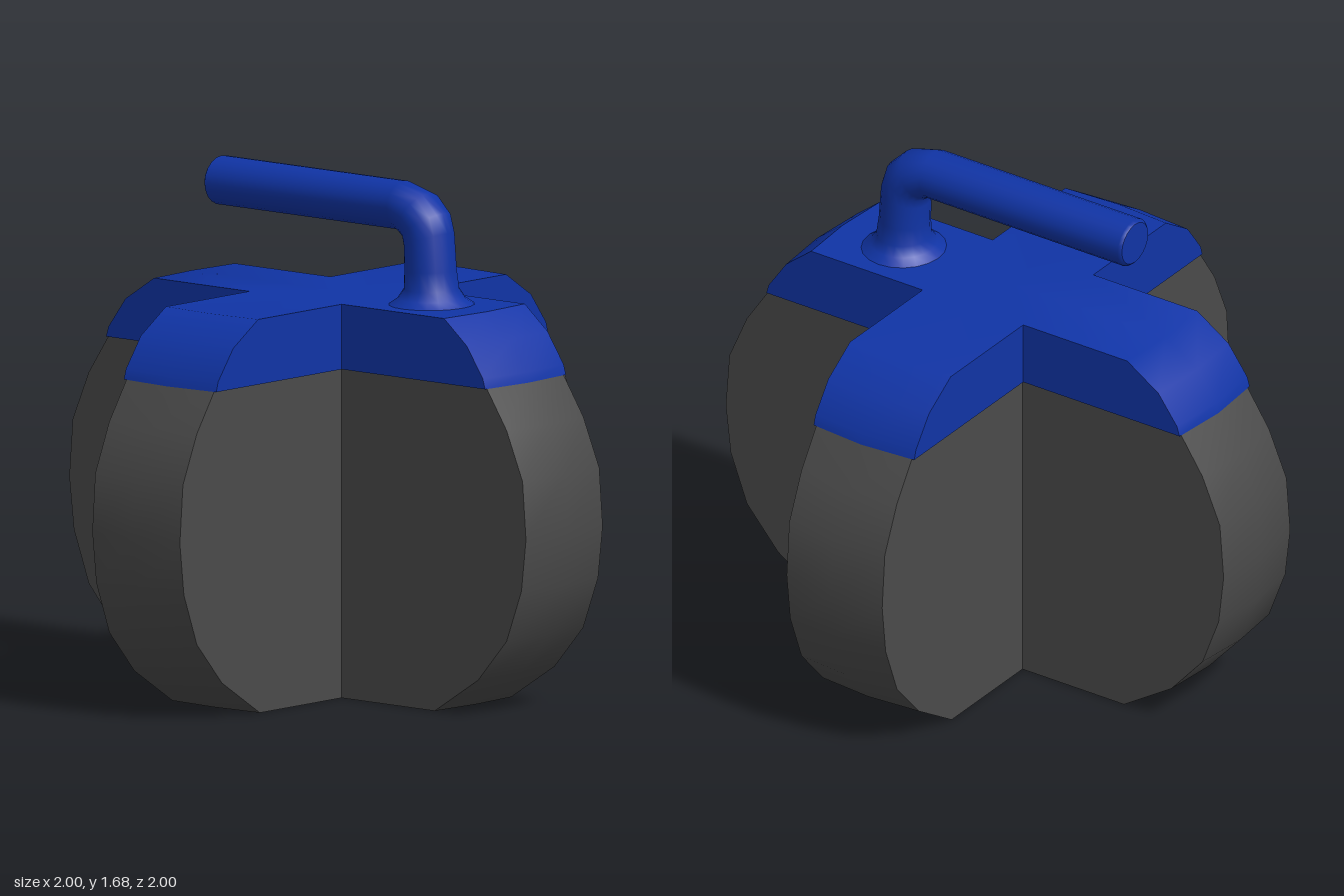
import * as THREE from 'three';
import { toCreasedNormals } from 'three/addons/utils/BufferGeometryUtils.js';

// One arm of a cross, running along +x. The outline goes up the outer end;
// the end bows slightly and the inner end is mitred to meet its neighbours.
function armGeometry(outline, halfWidth) {
  const slices = [-halfWidth, 0, halfWidth].map((z) => {
    const bow = z === 0 ? 1 : 0.98;
    const inner = Math.abs(z);
    const top = outline[outline.length - 1][1];
    return [
      [inner, outline[0][1], z],
      ...outline.map(([x, y]) => [x * bow, y, z]),
      [inner, top, z],
    ];
  });
  const pos = [];
  const tri = (a, b, c) => pos.push(...a, ...b, ...c);
  const n = slices[0].length;
  for (let s = 0; s < 2; s++) {
    const back = slices[s], front = slices[s + 1];
    for (let i = 0; i < n - 1; i++) {
      tri(front[i], back[i], back[i + 1]);
      tri(front[i], back[i + 1], front[i + 1]);
    }
  }
  for (let i = 1; i < n - 1; i++) {
    tri(slices[2][0], slices[2][i], slices[2][i + 1]);
    tri(slices[0][0], slices[0][i + 1], slices[0][i]);
  }
  const geo = new THREE.BufferGeometry();
  geo.setAttribute('position', new THREE.Float32BufferAttribute(pos, 3));
  return toCreasedNormals(geo, 0.6);
}

// Smooth tube through rings of [x, y, downward angle in degrees, radius]
function handleGeometry(rings, sides) {
  const pos = [], index = [];
  rings.forEach(([x, y, degrees, r]) => {
    const a = THREE.MathUtils.degToRad(degrees);
    for (let i = 0; i < sides; i++) {
      const t = (i / sides) * Math.PI * 2;
      const u = Math.cos(t) * r;
      pos.push(x + Math.sin(a) * u, y + Math.cos(a) * u, Math.sin(t) * r * 1.06);
    }
  });
  for (let k = 0; k < rings.length - 1; k++) {
    for (let i = 0; i < sides; i++) {
      const j = (i + 1) % sides;
      const a = k * sides + i, b = k * sides + j;
      index.push(a, a + sides, b, b, a + sides, b + sides);
    }
  }
  const geo = new THREE.BufferGeometry();
  geo.setAttribute('position', new THREE.Float32BufferAttribute(pos, 3));
  geo.setIndex(index);
  // Make sure the surface faces outward
  const p = geo.attributes.position;
  const v = (i) => new THREE.Vector3().fromBufferAttribute(p, index[i]);
  const a = v(0);
  const normal = v(1).sub(a).cross(v(2).sub(a));
  const outward = a.clone().sub(new THREE.Vector3(rings[0][0], rings[0][1], 0));
  if (normal.dot(outward) < 0) {
    for (let i = 0; i < index.length; i += 3) [index[i], index[i + 1]] = [index[i + 1], index[i]];
    geo.setIndex(index);
  }
  geo.computeVertexNormals();
  return geo;
}

export function createModel() {
  const model = new THREE.Group();
  model.name = 'curlingStone';
  const grey = new THREE.MeshStandardMaterial({ color: 0x4a4a4a });
  grey.name = 'dark grey stone';
  const blue = new THREE.MeshStandardMaterial({ color: 0x1034a6 });
  blue.name = 'blue plastic';

  const add = (name, geometry, material) => {
    const mesh = new THREE.Mesh(geometry, material);
    mesh.name = name;
    model.add(mesh);
    return mesh;
  };

  // Four stone arms, each with its cap
  const stoneOutline = [
    [0.6, 0], [0.79, 0.12], [0.915, 0.26], [0.98, 0.43], [1, 0.6],
    [0.985, 0.79], [0.915, 0.95], [0.82, 1.09],
  ];
  ['left', 'back', 'right', 'front'].forEach((side, k) => {
    const capTop = side === 'left' ? 0.65 : 0.62;
    const capOutline = [[0.83, 1.077], [0.82, 1.11], [0.745, 1.21], [capTop, 1.29]];
    if (side === 'left') capOutline[2] = [0.75, 1.21];
    add(side + 'StoneArm', armGeometry(stoneOutline, 0.188), grey).rotation.y = (k * Math.PI) / 2;
    add(side + 'CapArm', armGeometry(capOutline, 0.198), blue).rotation.y = (k * Math.PI) / 2;
  });

  // Bent handle, flared where it meets the cap
  add('handle', handleGeometry([
    [-0.5, 1.6, 0, 0.07], [-0.49, 1.6, 0, 0.08], [0.29, 1.6, 0, 0.08],
    [0.352, 1.58, 34, 0.084], [0.388, 1.545, 58, 0.084], [0.4, 1.5, 71, 0.083],
    [0.406, 1.4, 88, 0.083], [0.41, 1.34, 90, 0.088], [0.41, 1.31, 90, 0.108],
    [0.41, 1.287, 90, 0.14],
  ], 20), blue);
  const end = add('handleEnd', new THREE.CircleGeometry(0.07, 20), blue);
  end.position.set(-0.5, 1.6, 0);
  end.rotation.y = -Math.PI / 2;
  end.scale.x = 1.06;

  return model;
}
